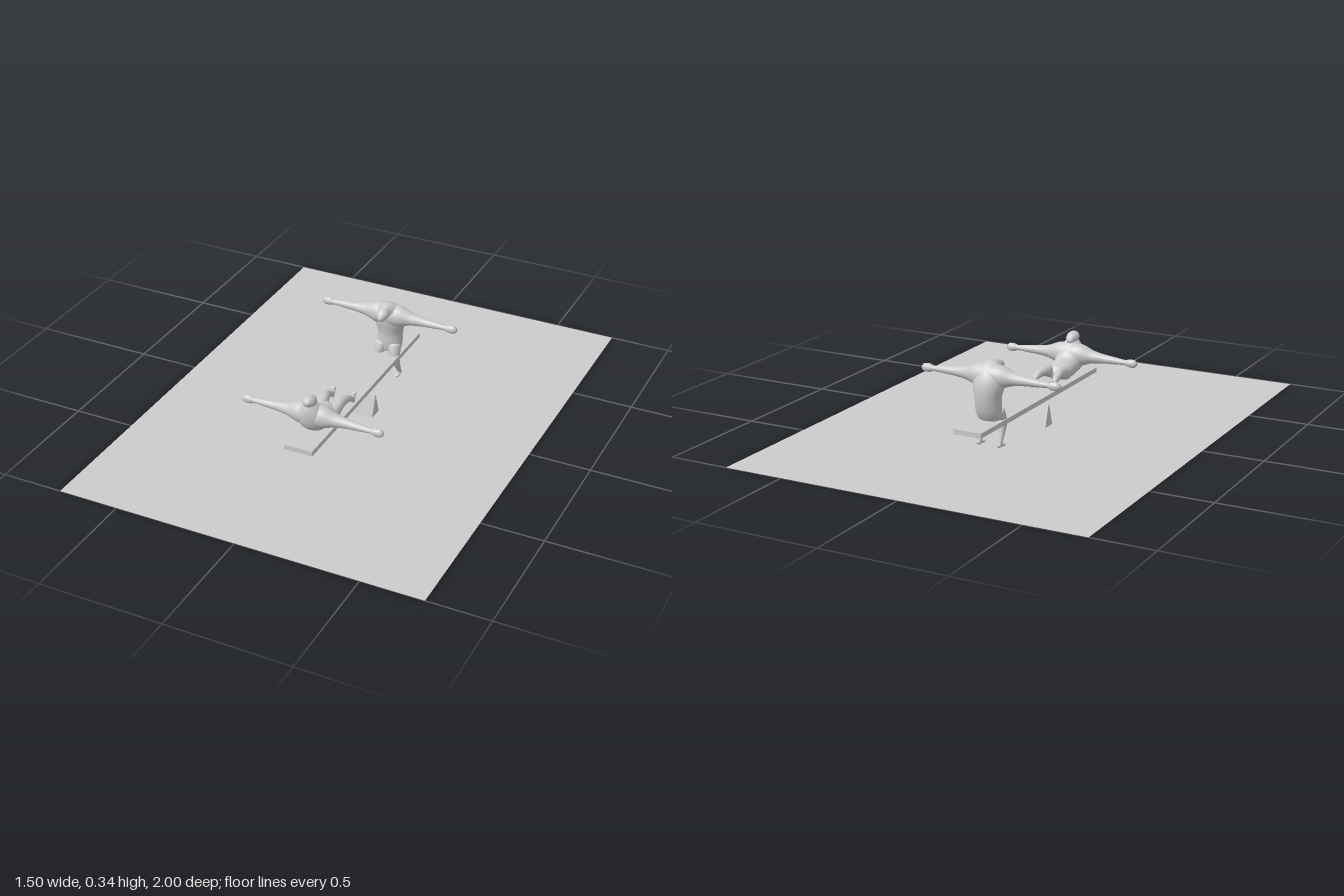
import * as THREE from 'three';

const material = new THREE.MeshStandardMaterial({ color: 0xcccccc, side: THREE.DoubleSide });

function add(parent, name, geometry, x = 0, y = 0, z = 0) {
  const mesh = new THREE.Mesh(geometry, material);
  mesh.name = name;
  mesh.position.set(x, y, z);
  parent.add(mesh);
  return mesh;
}

// Smooth body from elliptical sections [x, y, z, radius along ref, other radius]
function loft(sections, ref, steps = 6, sides = 24) {
  const path = new THREE.CatmullRomCurve3(sections.map(s => new THREE.Vector3(s[0], s[1], s[2])));
  const size = new THREE.CatmullRomCurve3(sections.map(s => new THREE.Vector3(s[3], s[4], 0)));
  const rings = (sections.length - 1) * steps;
  const positions = [], index = [];
  for (let i = 0; i <= rings; i++) {
    const c = path.getPoint(i / rings), r = size.getPoint(i / rings), t = path.getTangent(i / rings);
    const u = ref.clone().addScaledVector(t, -ref.dot(t)).normalize();
    const v = t.clone().cross(u);
    for (let j = 0; j < sides; j++) {
      const a = (j / sides) * Math.PI * 2;
      const p = c.clone().addScaledVector(u, r.x * Math.cos(a)).addScaledVector(v, r.y * Math.sin(a));
      positions.push(p.x, p.y, p.z);
      if (i < rings) {
        const k = i * sides + j, n = i * sides + (j + 1) % sides;
        index.push(k, n, k + sides, n, n + sides, k + sides);
      }
    }
  }
  const g = new THREE.BufferGeometry();
  g.setAttribute('position', new THREE.Float32BufferAttribute(positions, 3));
  g.setIndex(index);
  g.computeVertexNormals();
  return g;
}

const X = new THREE.Vector3(1, 0, 0), Y = new THREE.Vector3(0, 1, 0);

// Distance from the middle, height radius, depth radius of the outstretched arms
const ARM = [
  [0, 0.048, 0.045], [0.05, 0.045, 0.042], [0.1, 0.027, 0.028], [0.15, 0.019, 0.02], [0.2, 0.015, 0.016],
  [0.25, 0.011, 0.012], [0.268, 0.017, 0.015], [0.288, 0.017, 0.014], [0.3, 0.008, 0.008], [0.302, 0.001, 0.001],
];

function makeFigure(name, { torso, arm, head, leg, foot }) {
  const figure = new THREE.Group();
  figure.name = name;
  add(figure, 'torso', loft(torso.map(([y, z, w, d]) => [0, y, z, w, d]), X));

  // Both arms and the shoulders between them
  const half = ARM.map(([x, h, d]) => [x, arm.y + (arm.handY - arm.y) * x / 0.3, arm.z, h, d]);
  const mirrored = half.slice(1).reverse().map(([x, ...rest]) => [-x, ...rest]);
  add(figure, 'arms', loft([...mirrored, ...half], Y, 5));

  // Bowed head with a short muzzle
  const skull = add(figure, 'head', new THREE.SphereGeometry(1, 24, 16), 0, head.y, head.z);
  skull.scale.set(0.026, 0.024, 0.036);
  skull.rotation.x = head.tilt;
  const face = add(figure, 'face', new THREE.SphereGeometry(1, 20, 12), 0, head.y - 0.009, head.z + head.dir * 0.018);
  face.scale.set(0.018, 0.018, 0.02);

  for (const s of [1, -1]) {
    const side = s > 0 ? 'left' : 'right';
    add(figure, side + 'Leg', loft(leg.map(([x, y, z, r]) => [s * x, y, z, r, r]), X, 6, 16));
    add(figure, side + 'Foot', loft(foot.map(([y, z, w, d]) => [s * 0.045, y, z, w, d]), X, 5, 16));
  }
  return figure;
}

export function createModel() {
  const model = new THREE.Group();
  model.name = 'seesawScene';

  // Ground sheet
  add(model, 'groundSheet', new THREE.PlaneGeometry(1.5, 2).rotateX(-Math.PI / 2));

  // Plank on a wedge
  add(model, 'plank', new THREE.BoxGeometry(0.12, 0.02, 1), 0, 0.1, 0);
  const wedge = new THREE.Shape([[-0.03, 0], [0.03, 0], [0.003, 0.09], [-0.003, 0.09]].map(p => new THREE.Vector2(...p)));
  add(model, 'wedge', new THREE.ExtrudeGeometry(wedge, { depth: 0.18, bevelEnabled: false })
    .translate(0, 0, -0.09).rotateY(Math.PI / 2));

  // Reclining figure, legs along the plank
  model.add(makeFigure('recliningFigure', {
    torso: [
      [0.145, 0.225, 0.004, 0.004], [0.145, 0.24, 0.042, 0.028], [0.147, 0.28, 0.052, 0.036], [0.153, 0.33, 0.054, 0.044],
      [0.178, 0.37, 0.064, 0.052], [0.215, 0.388, 0.056, 0.044], [0.25, 0.396, 0.026, 0.027], [0.27, 0.395, 0.005, 0.005],
    ],
    arm: { y: 0.196, handY: 0.187, z: 0.378 },
    head: { y: 0.262, z: 0.395, tilt: -0.25, dir: -1 },
    leg: [
      [0.025, 0.14, 0.29, 0.006], [0.028, 0.142, 0.27, 0.028], [0.035, 0.158, 0.21, 0.022],
      [0.042, 0.155, 0.17, 0.016], [0.045, 0.138, 0.135, 0.011], [0.045, 0.122, 0.115, 0.009],
    ],
    foot: [[0.111, 0.12, 0.002, 0.002], [0.115, 0.119, 0.009, 0.009], [0.135, 0.113, 0.01, 0.007],
      [0.152, 0.108, 0.012, 0.006], [0.16, 0.107, 0.002, 0.002]],
  }));

  // Upright figure, legs hanging to the ground
  model.add(makeFigure('uprightFigure', {
    torso: [
      [0.106, -0.322, 0.004, 0.004], [0.113, -0.323, 0.046, 0.03], [0.15, -0.33, 0.054, 0.043], [0.2, -0.335, 0.054, 0.048],
      [0.255, -0.328, 0.066, 0.05], [0.298, -0.31, 0.055, 0.042], [0.316, -0.28, 0.028, 0.026], [0.315, -0.26, 0.005, 0.005],
    ],
    arm: { y: 0.283, handY: 0.276, z: -0.318 },
    head: { y: 0.31, z: -0.262, tilt: 0.25, dir: 1 },
    leg: [
      [0.025, 0.16, -0.32, 0.006], [0.028, 0.14, -0.312, 0.028], [0.038, 0.1, -0.296, 0.021],
      [0.043, 0.06, -0.306, 0.014], [0.045, 0.03, -0.32, 0.01], [0.045, 0.01, -0.328, 0.009],
    ],
    foot: [[0.01, -0.34, 0.002, 0.002], [0.01, -0.335, 0.009, 0.009], [0.009, -0.318, 0.01, 0.008],
      [0.007, -0.3, 0.012, 0.006], [0.006, -0.291, 0.002, 0.002]],
  }));
  return model;
}
